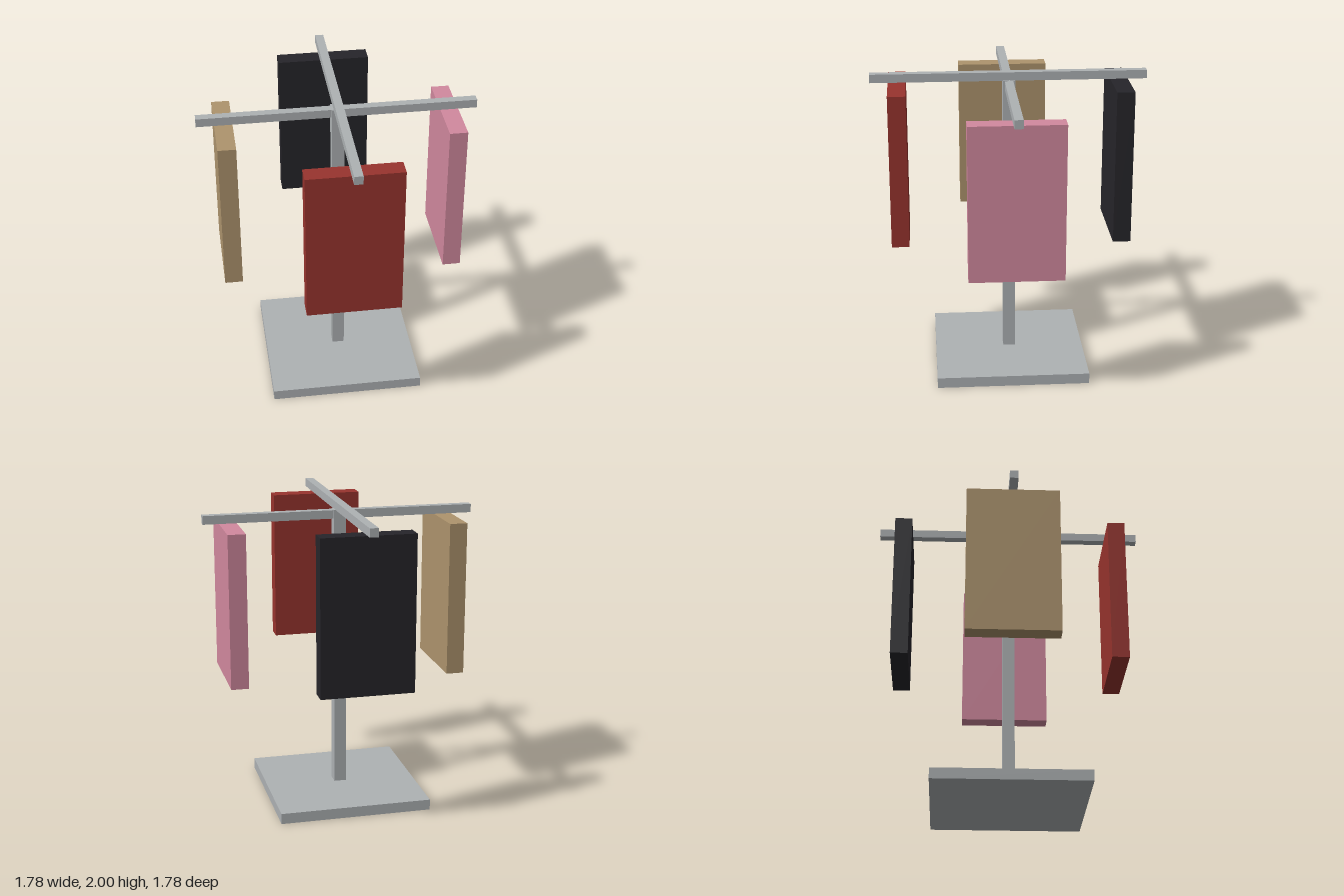
import * as THREE from 'three';

export function createModel() {
  const model = new THREE.Group();
  model.name = 'displayStand';

  const material = (color) => new THREE.MeshStandardMaterial({ color });
  const metal = material(0xaeb2b4);

  // Box given by its size, centre and bottom height
  const addBox = (name, mat, [w, h, d], [x, bottom, z]) => {
    const mesh = new THREE.Mesh(new THREE.BoxGeometry(w, h, d), mat);
    mesh.name = name;
    mesh.position.set(x, bottom + h / 2, z);
    model.add(mesh);
  };

  // Stand: square foot, post and two crossed arms, one on top of the other
  const arm = 0.055, armLength = 1.78;
  addBox('base', metal, [1, 0.07, 1], [0, 0, 0]);
  addBox('post', metal, [0.08, 1.878, 0.08], [0, 0.07, 0]);
  addBox('lowerArm', metal, [armLength, arm, arm], [0, 1.89, 0]);
  addBox('upperArm', metal, [arm, arm, armLength], [0, 1.945, 0]);

  // Hanging panels, one below each arm end
  const width = 0.6, height = 1.005, thick = 0.115, reach = 0.718;
  const lower = 0.87, upper = 0.925;
  addBox('frontPanel', material(0x98342e), [width, height, thick], [0, upper, reach]);
  addBox('backPanel', material(0x26252a), [width, height, thick], [0, upper, -reach]);
  addBox('leftPanel', material(0xd2899f), [thick, height, width], [reach, lower, 0]);
  addBox('rightPanel', material(0xae946d), [thick, height, width], [-reach, lower, 0]);

  return model;
}
